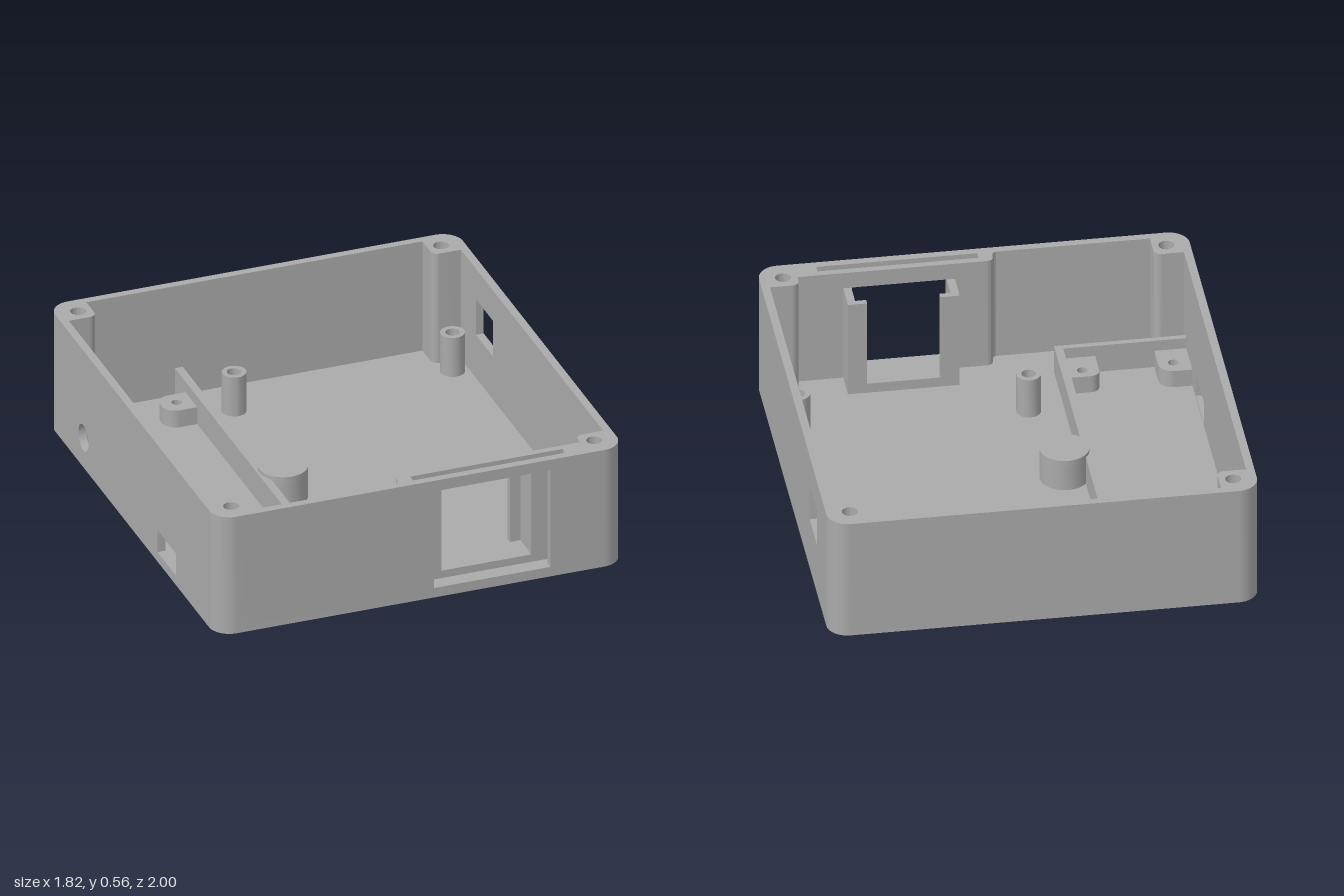
import * as THREE from 'three';
import { toCreasedNormals } from 'three/addons/utils/BufferGeometryUtils.js';

const W = 0.91, D = 1, H = 0.555, FLOOR = 0.035, T = 0.035;
const BX = 0.75, BZ = 0.84; // inner edges of the corner bosses

// Rectangle with an own radius at each corner: (a,b), (c,b), (c,d), (a,d)
function rect(a, b, c, d, r = [0, 0, 0, 0]) {
  const s = new THREE.Shape();
  const [r0, r1, r2, r3] = r;
  s.moveTo(a + r0, b);
  s.lineTo(c - r1, b);
  if (r1) s.absarc(c - r1, b + r1, r1, -Math.PI / 2, 0);
  s.lineTo(c, d - r2);
  if (r2) s.absarc(c - r2, d - r2, r2, 0, Math.PI / 2);
  s.lineTo(a + r3, d);
  if (r3) s.absarc(a + r3, d - r3, r3, Math.PI / 2, Math.PI);
  s.lineTo(a, b + r0);
  if (r0) s.absarc(a + r0, b + r0, r0, Math.PI, Math.PI * 1.5);
  return s;
}

function disc(x, y, r) {
  const s = new THREE.Shape();
  s.absarc(x, y, r, 0, Math.PI * 2);
  return s;
}

function extrude(shape, holes, depth) {
  shape.holes.push(...holes);
  return new THREE.ExtrudeGeometry(shape, { depth, bevelEnabled: false, curveSegments: 16 });
}

export function createModel() {
  const model = new THREE.Group();
  const grey = new THREE.MeshStandardMaterial({ color: 0xaaaaaa });
  grey.name = 'plastic grey';

  function add(name, geo) {
    const mesh = new THREE.Mesh(toCreasedNormals(geo, 0.5), grey);
    mesh.name = name;
    model.add(mesh);
    return mesh;
  }
  // Plan shape (x, -z) raised from y0 to y1
  const plan = (name, shape, holes, y0, y1) =>
    add(name, extrude(shape, holes, y1 - y0).rotateX(-Math.PI / 2).translate(0, y0, 0));
  // Front elevation shape (x, y) from z0 to z1
  const facing = (name, shape, holes, z0, z1) =>
    add(name, extrude(shape, holes, z1 - z0).translate(0, 0, z0));
  // Side elevation shape (-z, y) from x0 to x1
  const side = (name, shape, holes, x0, x1) =>
    add(name, extrude(shape, holes, x1 - x0).rotateY(Math.PI / 2).translate(x0, 0, 0));
  // Plain block between two corners
  const block = (name, x0, x1, y0, y1, z0, z1) =>
    add(name, new THREE.BoxGeometry(x1 - x0, y1 - y0, z1 - z0)
      .translate((x0 + x1) / 2, (y0 + y1) / 2, (z0 + z1) / 2));

  // Floor with the round hole under the hollow hub
  const R = 0.09;
  plan('floor', rect(-W, -D, W, D, [R, R, R, R]), [disc(-0.24, -0.01, 0.065)], 0, FLOOR);

  // Corner bosses with lid screw holes
  for (const sx of [-1, 1]) for (const sz of [-1, 1]) {
    const x0 = sx > 0 ? BX : -W, y0 = sz > 0 ? -D : BZ;
    const outer = (sz > 0 ? 0 : 2) + ((sx > 0) === (sz > 0) ? 1 : 0);
    const radii = [0, 0, 0, 0];
    radii[outer] = R;
    radii[(outer + 2) % 4] = 0.03;
    plan('cornerBoss', rect(x0, y0, x0 + W - BX, y0 + D - BZ, radii),
      [disc(sx * 0.81, -sz * 0.905, 0.033)], FLOOR, H);
  }

  // Side walls with their cable openings, and the back wall
  side('rightWall', rect(-BZ, FLOOR, BZ, H),
    [disc(0.575, 0.14, 0.06), rect(-0.52, 0.045, -0.3, 0.15)], -W, -W + T);
  side('leftWall', rect(-BZ, FLOOR, BZ, H), [rect(0.46, 0.24, 0.665, 0.41)], W - T, W);
  block('backWall', -BX, BX, FLOOR, H, -D, -D + T);

  // Front wall: outer skin, slot for a sliding plate, inner skin
  facing('frontWall', rect(-BX, FLOOR, BX, H), [rect(0.06, 0.045, 0.58, 0.505)], 0.965, D);
  facing('innerFrontSkin', rect(-0.02, FLOOR, BX, H), [rect(0.12, 0.08, 0.52, 0.48)], 0.9, 0.93);
  block('slotEnd', 0.66, BX, FLOOR, H, 0.93, 0.965);
  block('slotBottom', -0.02, 0.66, FLOOR, 0.045, 0.93, 0.965);
  const step = new THREE.Shape();
  step.moveTo(-0.1, -0.965);
  step.lineTo(-0.02, -0.965);
  step.lineTo(-0.02, -0.9);
  step.lineTo(-0.05, -0.9);
  step.quadraticCurveTo(-0.08, -0.9, -0.08, -0.93);
  step.quadraticCurveTo(-0.08, -0.96, -0.1, -0.965);
  plan('slotEnd', step, [], FLOOR, H);

  // Bracket behind the front window
  for (const s of [-1, 1]) {
    const at = (a, b) => [0.32 + s * a, 0.32 + s * b].sort((p, q) => p - q);
    block('windowBracketSide', ...at(0.202, 0.236), FLOOR, 0.48, 0.77, 0.9);
    block('windowBracketLip', ...at(0.155, 0.202), 0.08, 0.48, 0.77, 0.797);
  }
  block('windowBracketSill', 0.118, 0.522, FLOOR, 0.08, 0.77, 0.9);

  // Low L-shaped divider around the side compartment
  block('divider', -0.355, -0.32, FLOOR, 0.165, -D + T, 0.805);
  block('dividerEnd', -W + T, -0.355, FLOOR, 0.165, 0.78, 0.805);

  // Compartment screw pads
  const pads = [
    [-0.875, -0.74, -0.84, -0.7, -0.805, -0.77, [0, 0.06, 0.06, 0]],
    [-0.49, -0.355, -0.84, -0.7, -0.42, -0.77, [0.06, 0, 0, 0.06]],
    [-0.875, -0.74, 0.615, 0.78, -0.805, 0.68, [0, 0, 0.06, 0]],
    [-0.49, -0.355, 0.63, 0.78, -0.42, 0.68, [0, 0, 0, 0.04]],
  ];
  for (const [x0, x1, z0, z1, hx, hz, r] of pads)
    plan('screwPad', rect(x0, -z1, x1, -z0, r), [disc(hx, -hz, 0.022)], FLOOR, 0.115);

  // Circuit board posts
  for (const x of [-0.17, 0.805]) for (const z of [-0.755, 0.53])
    plan('boardPost', disc(x, -z, 0.052), [disc(x, -z, 0.03)], FLOOR, 0.22);

  // Hollow hub, closed on top
  plan('hubWall', disc(-0.24, -0.01, 0.105), [disc(-0.24, -0.01, 0.065)], FLOOR, 0.15);
  plan('hubCap', disc(-0.24, -0.01, 0.105), [], 0.15, 0.18);

  return model;
}
